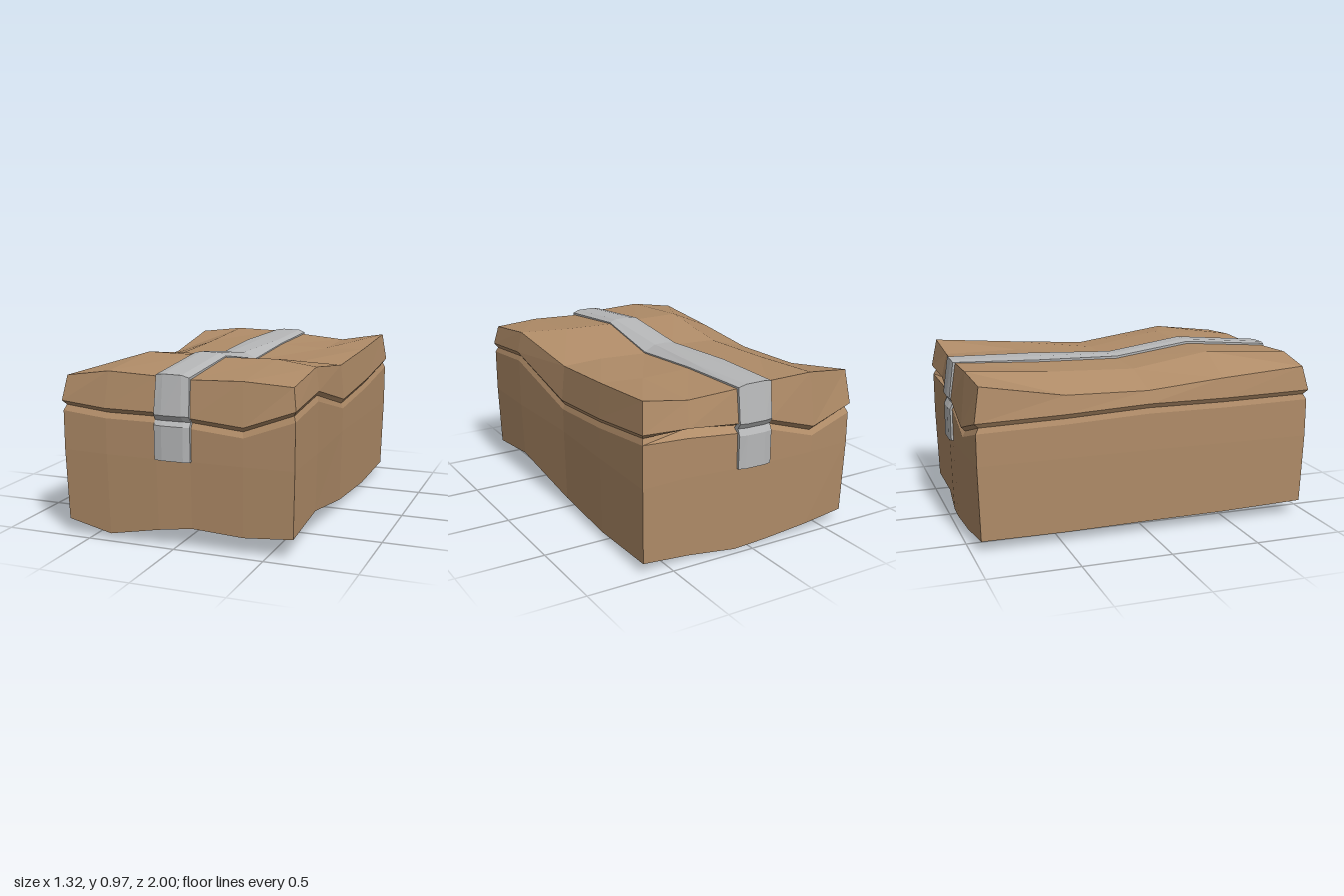
import * as THREE from 'three';

// Stitch a grid of points (rows of [x, y, z]) into triangles
function skin(rows, out, flip = false) {
  for (let r = 0; r < rows.length - 1; r++) {
    for (let k = 0; k < rows[r].length - 1; k++) {
      const a = rows[r][k], b = rows[r][k + 1], c = rows[r + 1][k + 1], d = rows[r + 1][k];
      const tris = flip ? [a, c, b, a, d, c] : [a, b, c, a, c, d];
      tris.forEach((p) => out.push(...p));
    }
  }
}

function toMesh(name, positions, material) {
  const geometry = new THREE.BufferGeometry();
  geometry.setAttribute('position', new THREE.Float32BufferAttribute(positions, 3));
  geometry.computeVertexNormals(); // unshared corners keep every facet flat
  const mesh = new THREE.Mesh(geometry, material);
  mesh.name = name;
  return mesh;
}

// Columns around the carton: x, z, top y, bottom y, crease y, crease depth
const FRONT = [
  [-0.655, 0.955, 0.885, 0.085, 0.73], [-0.39, 0.975, 0.925, 0.035, 0.71],
  [-0.1, 0.975, 0.915, 0.09, 0.71], [0.09, 0.965, 0.905, 0.115, 0.69],
  [0.38, 0.965, 0.915, 0.1, 0.665], [0.65, 0.955, 0.9, 0.12, 0.765],
];
const RIGHT = [
  [0.65, 0.57, 0.945, 0.16, 0.8], [0.63, 0, 0.87, 0.06, 0.65], [0.645, -0.48, 0.9, 0.04, 0.69],
];
const BACK = [
  [0.655, -0.955, 0.935, 0.06, 0.75], [0.38, -0.94, 0.89, 0.03, 0.73, 0.05],
  [0.09, -0.965, 0.91, 0.005, 0.71, 0.03], [-0.1, -0.975, 0.925, 0.02, 0.7],
  [-0.39, -0.975, 0.93, 0.045, 0.61], [-0.655, -0.955, 0.9, 0.065, 0.69],
];
const LEFT = [
  [-0.65, -0.48, 0.82, 0.06, 0.7], [-0.645, 0, 0.81, 0.065, 0.72], [-0.65, 0.45, 0.85, 0.07, 0.72],
];
const COLUMNS = [...FRONT, ...RIGHT, ...BACK, ...LEFT];

// Inner points of the lid and the base
const GRID_X = [-0.39, -0.1, 0.09, 0.38];
const GRID_Z = [0.45, 0, -0.48];
const LID = [[0.957, 0.955, 0.95, 0.957], [0.885, 0.895, 0.87, 0.88], [0.9, 0.91, 0.9, 0.89]];
const BASE = [[0.04, 0.06, 0.08, 0.12], [0.04, 0.045, 0.045, 0.05], [0.045, 0.035, 0.03, 0.035]];

// Fill a closed ring with a 5 x 6 grid, using inner heights
function panel(ring, heights) {
  const rows = [ring.slice(0, 6)];
  GRID_Z.forEach((z, r) => {
    const inner = GRID_X.map((x, k) => [x, heights[r][k], z]);
    rows.push([ring[17 - r], ...inner, ring[6 + r]]);
  });
  rows.push(ring.slice(9, 15).reverse());
  return rows;
}

function carton(material) {
  const ring = (height, spread) => COLUMNS.map((c) => {
    const s = spread(c);
    return [c[0] * s, height(c), c[1] * s];
  });
  const rings = [
    ring((c) => c[3], () => 0.99),
    ring(() => 0.48, () => 1.003),
    ring((c) => c[4] - 0.035, () => 1.003),          // lower lip of crease
    ring((c) => c[4] - 0.005, (c) => 0.985 - (c[5] ?? 0)), // crease bottom
    ring((c) => c[4] + 0.02, () => 1.01),            // upper lip of crease
    ring((c) => c[2], () => 0.977),
  ];
  const positions = [];
  skin(rings.map((r) => [...r, r[0]]), positions);
  skin(panel(rings[5], LID), positions);
  skin(panel(rings[0], BASE), positions, true);
  return toMesh('carton', positions, material);
}

function tapeStrip(material) {
  // Stations: z, y, outward z, outward y, left x, right x, ridge x, drop of right edge
  const stations = [
    [0.95, 0.48, 1, 0, -0.105, 0.095, 0.06, 0],
    [0.99, 0.48, 1, 0, -0.105, 0.095, 0.06, 0.008],
    [0.99, 0.665, 1, 0, -0.105, 0.095, 0.06, 0.004],
    [0.972, 0.69, 1, 0, -0.105, 0.095, 0.06, 0.004],
    [0.992, 0.72, 1, 0, -0.105, 0.092, 0.05, 0.004],
    [0.965, 0.925, 0.5, 0.8, -0.1, 0.085, 0.045, 0.01],
    [0.45, 0.968, 0, 1, -0.105, 0.08, 0.045, 0.01],
    [0, 0.908, 0, 1, -0.115, 0.09, 0.02, 0.03],
    [-0.48, 0.92, 0, 1, -0.14, 0.09, 0.06, 0.012],
    [-0.965, 0.93, -0.5, 0.8, -0.11, 0.09, 0.05, 0.012],
    [-0.992, 0.73, -1, 0, -0.105, 0.095, 0.05, 0.004],
    [-0.972, 0.7, -1, 0, -0.105, 0.095, 0.05, 0.004],
    [-0.99, 0.665, -1, 0, -0.105, 0.095, 0.05, 0.004],
    [-0.99, 0.48, -1, 0, -0.105, 0.095, 0.06, 0.008],
    [-0.95, 0.48, -1, 0, -0.105, 0.095, 0.06, 0],
  ];
  const rows = stations.map(([z, y, nz, ny, left, right, ridge, drop]) => {
    const at = (x, lift) => [x, y + ny * lift, z + nz * lift];
    return [
      at(left, -0.03), at(left, 0), at(-0.06, 0.008),
      at(ridge, 0.006), at(right, -drop), at(right, -drop - 0.03),
    ];
  });
  const positions = [];
  skin(rows, positions);
  return toMesh('tape', positions, material);
}

export function createModel() {
  const cardboard = new THREE.MeshStandardMaterial({ color: 0xb08c68 });
  cardboard.name = 'cardboard brown';
  const silver = new THREE.MeshStandardMaterial({ color: 0xb6b7b8, side: THREE.DoubleSide });
  silver.name = 'tape grey';

  const model = new THREE.Group();
  model.name = 'tapedBox';
  model.add(carton(cardboard), tapeStrip(silver));
  return model;
}
